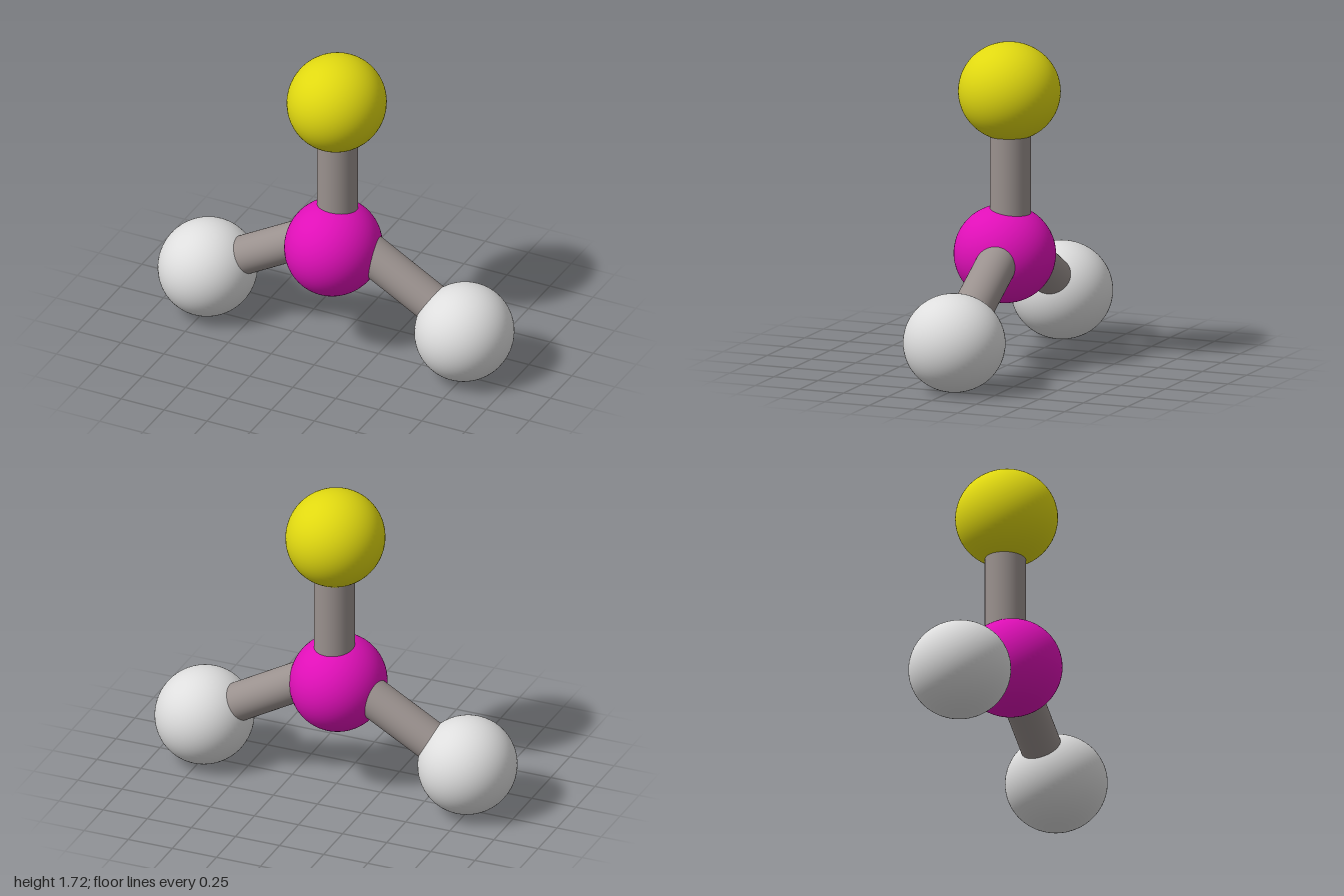
import * as THREE from 'three';

export function createModel() {
  const model = new THREE.Group();
  const mat = (name, color) => {
    const m = new THREE.MeshStandardMaterial({ color });
    m.name = name;
    return m;
  };
  const yellow = mat('yellow', 0xe0d810);
  const magenta = mat('magenta', 0xe00fb8);
  const white = mat('white', 0xdedede);
  const grey = mat('warm grey', 0x9a918e);

  // Balls are very slightly deeper than they are wide
  const ballGeometry = new THREE.SphereGeometry(1, 64, 40);
  const ball = (name, material, x, y, z, rx = 0.259) => {
    const mesh = new THREE.Mesh(ballGeometry, material);
    mesh.name = name;
    mesh.position.set(x, y, z);
    mesh.scale.set(rx, 0.259, 0.269);
    model.add(mesh);
  };

  // Round rod between two points
  const rod = (name, from, to, rx, rz) => {
    const a = new THREE.Vector3(...from), b = new THREE.Vector3(...to);
    const dir = b.clone().sub(a);
    const mesh = new THREE.Mesh(new THREE.CylinderGeometry(1, 1, dir.length(), 48), grey);
    mesh.name = name;
    mesh.position.copy(a).add(b).multiplyScalar(0.5);
    mesh.quaternion.setFromUnitVectors(new THREE.Vector3(0, 1, 0), dir.normalize());
    mesh.scale.set(rx, 1, rz);
    model.add(mesh);
  };

  // Balls
  ball('topBall', yellow, 0, 1.46, -0.014);
  ball('centreBall', magenta, -0.005, 0.595, 0.014, 0.254);
  ball('rightBall', white, -0.741, 0.266, 0.004);
  ball('leftBall', white, 0.741, 0.261, -0.016);

  // Rods, with both ends buried in the balls
  rod('topRod', [0.002, 0.72, -0.021], [0.002, 1.35, -0.021], 0.107, 0.108);
  rod('rightRod', [-0.08, 0.64, -0.02], [-0.67, 0.306, -0.02], 0.103, 0.108);
  rod('leftRod', [0.08, 0.645, -0.025], [0.67, 0.311, -0.025], 0.103, 0.108);

  return model;
}
